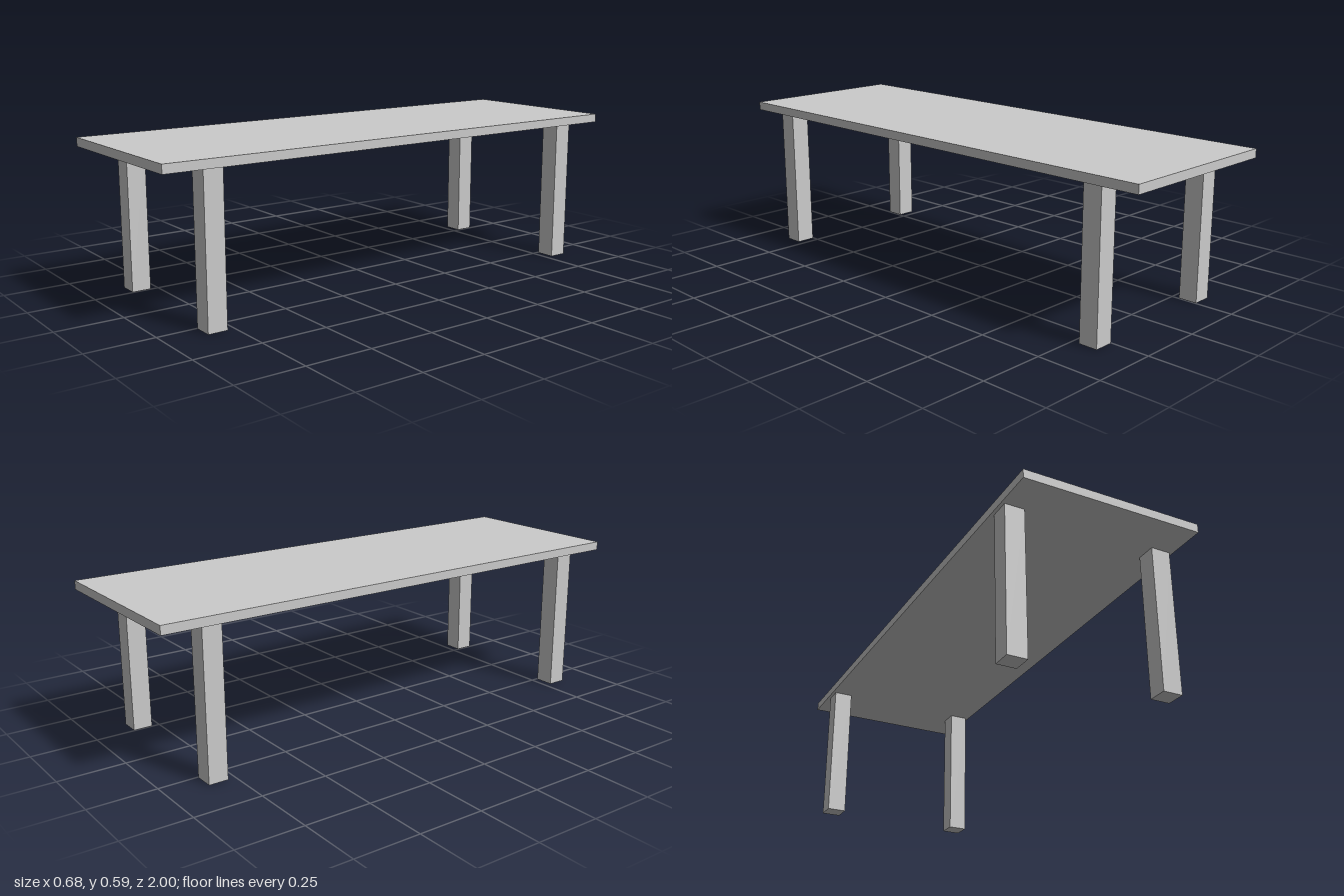
import * as THREE from 'three';

const TOP = { width: 0.682, height: 0.033, length: 2 };
const LEG = { width: 0.075, height: 0.553, depth: 0.073, x: 0.291, z: 0.815 };

export function createModel() {
  const table = new THREE.Group();
  table.name = 'table';
  const material = new THREE.MeshStandardMaterial({ color: 0xcccccc, flatShading: true });

  // Long flat slab resting on the legs
  const tabletop = new THREE.Mesh(new THREE.BoxGeometry(TOP.width, TOP.height, TOP.length), material);
  tabletop.name = 'tabletop';
  tabletop.position.y = LEG.height + TOP.height / 2;
  table.add(tabletop);

  // Four square legs, mirrored to each corner
  const legGeometry = new THREE.BoxGeometry(LEG.width, LEG.height, LEG.depth);
  for (const [end, sz] of [['front', 1], ['back', -1]]) {
    for (const [side, sx] of [['Left', 1], ['Right', -1]]) {
      const leg = new THREE.Mesh(legGeometry, material);
      leg.name = `${end}${side}Leg`;
      leg.position.set(sx * LEG.x, LEG.height / 2, sz * LEG.z);
      table.add(leg);
    }
  }
  return table;
}
